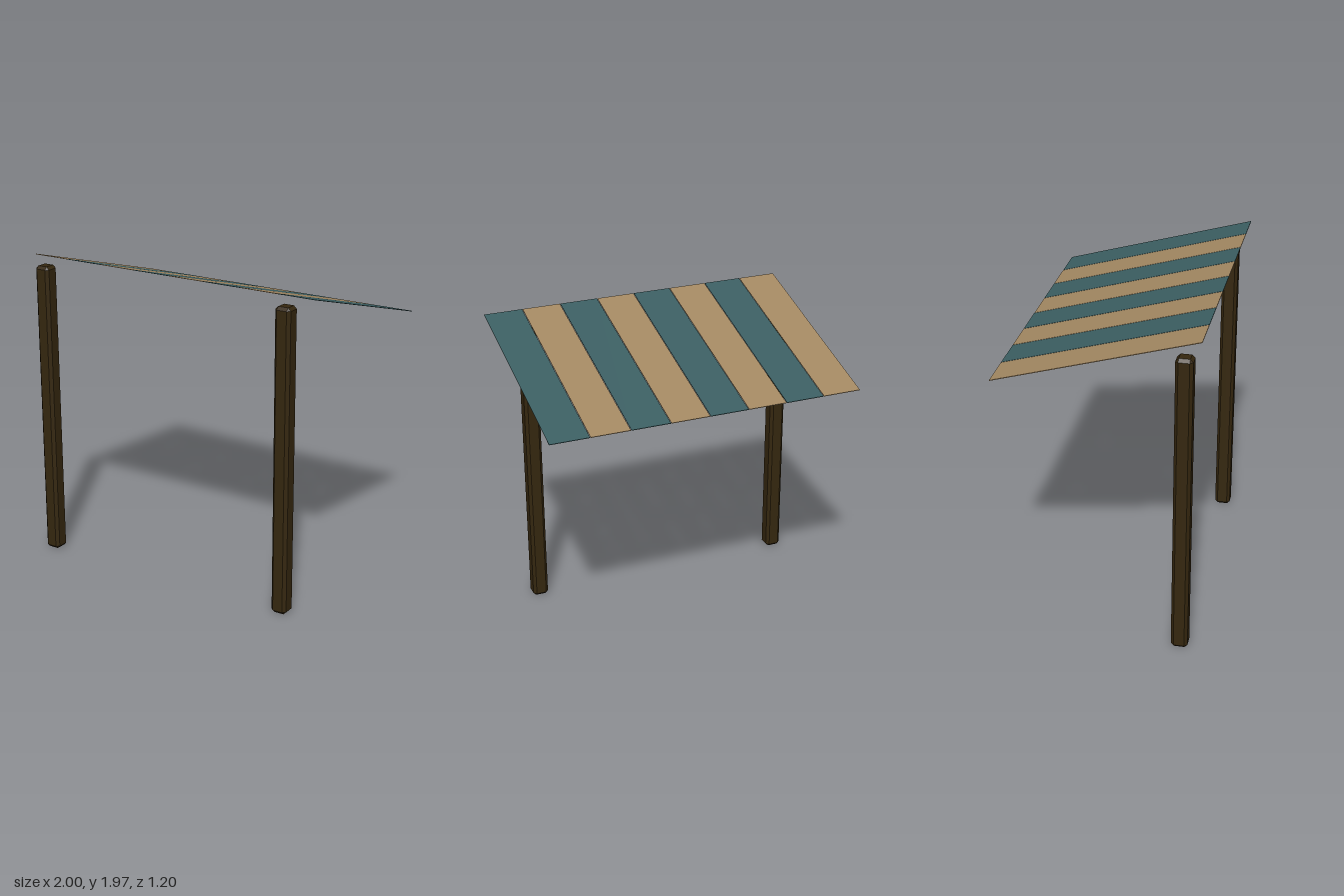
import * as THREE from 'three';
import { ConvexGeometry } from 'three/addons/geometries/ConvexGeometry.js';

const mat = (name, color) => {
  const m = new THREE.MeshStandardMaterial({ color });
  m.name = name;
  return m;
};

// Box with every edge and corner cut by a flat chamfer
function chamferedBox(w, h, d, c) {
  const points = [];
  for (const sx of [-1, 1]) for (const sy of [-1, 1]) for (const sz of [-1, 1]) {
    const x = w / 2, y = h / 2, z = d / 2;
    points.push(
      new THREE.Vector3(sx * x, sy * (y - c), sz * (z - c)),
      new THREE.Vector3(sx * (x - c), sy * y, sz * (z - c)),
      new THREE.Vector3(sx * (x - c), sy * (y - c), sz * z)
    );
  }
  return new ConvexGeometry(points);
}

export function createModel() {
  const model = new THREE.Group();
  model.name = 'awning';

  const wood = mat('dark wood', 0x35270f);
  const tan = mat('tan cloth', 0xa38862);
  const teal = mat('teal cloth', 0x3b5e62);

  // Two front posts
  const postHeight = 1.88;
  const postGeometry = chamferedBox(0.1, postHeight, 0.1, 0.018);
  for (const [name, x] of [['rightPost', -0.95], ['leftPost', 0.762]]) {
    const post = new THREE.Mesh(postGeometry, wood);
    post.name = name;
    post.position.set(x, postHeight / 2, 0.51);
    model.add(post);
  }

  // Sloping canopy of alternating cloth strips with hairline gaps
  const canopy = new THREE.Group();
  canopy.name = 'canopy';
  const rise = 0.343, depth = 1.2, pitch = 0.2441, count = 8;
  const stripGeometry = new THREE.BoxGeometry(0.24, 0.004, Math.hypot(rise, depth));
  for (let i = 0; i < count; i++) {
    const strip = new THREE.Mesh(stripGeometry, i % 2 ? teal : tan);
    strip.name = `strip${i + 1}`;
    strip.position.x = (i - (count - 1) / 2) * pitch;
    canopy.add(strip);
  }
  canopy.position.set(0.0255, 1.797, 0);
  canopy.rotation.x = -Math.atan2(rise, depth);
  model.add(canopy);

  return model;
}
